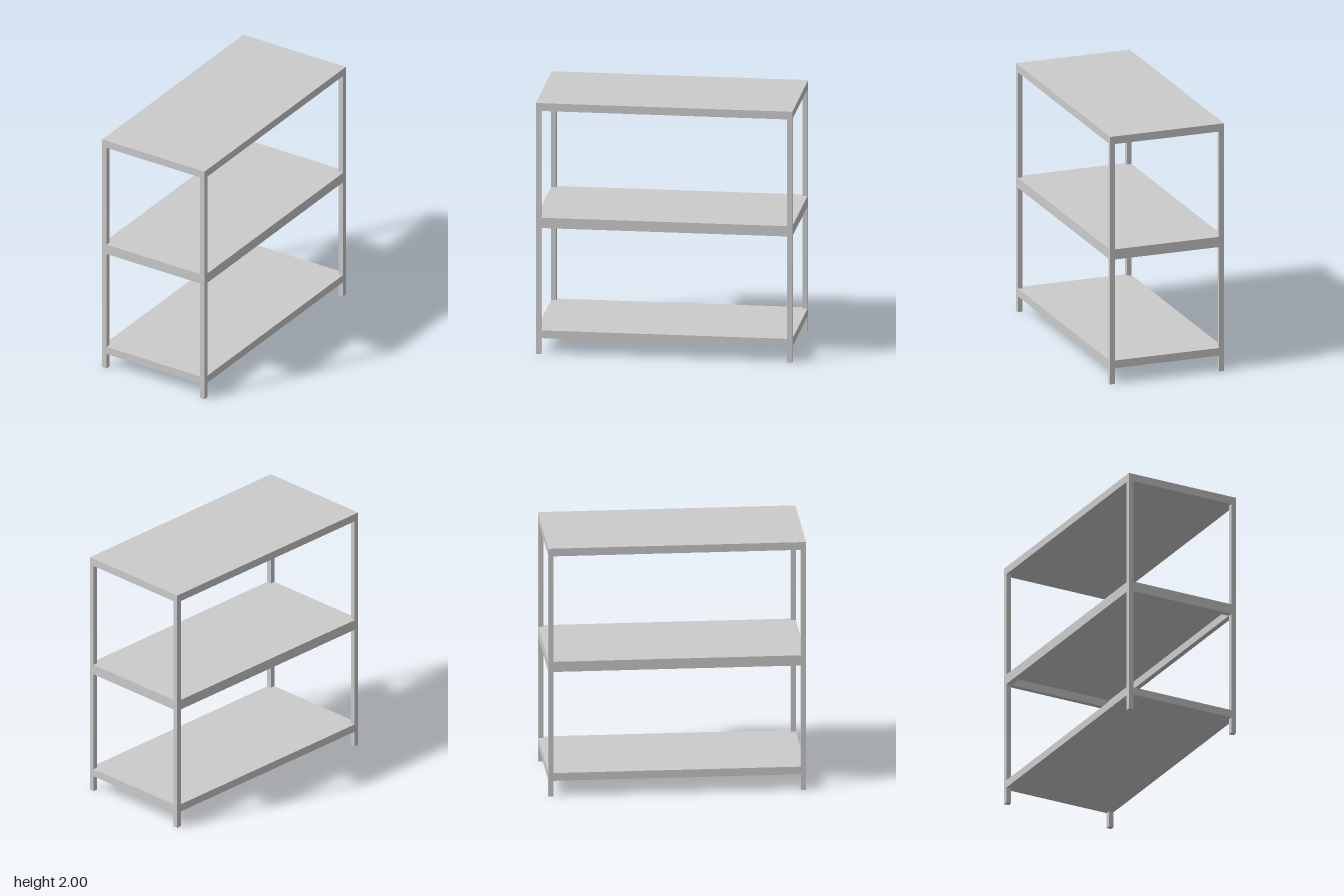
import * as THREE from 'three';

export function createModel() {
  const group = new THREE.Group();
  const material = new THREE.MeshStandardMaterial({ color: 0xcccccc, flatShading: true });

  const W = 0.94, D = 1.99, H = 2; // overall width, depth, height
  const bar = 0.04;                // thickness of posts and rails
  const slab = 0.062;              // height of rails and solid shelves

  function box(name, w, h, d, x, bottom, z) {
    const mesh = new THREE.Mesh(new THREE.BoxGeometry(w, h, d), material);
    mesh.name = name;
    mesh.position.set(x, bottom + h / 2, z);
    group.add(mesh);
  }

  // Corner posts, up to the underside of the top
  for (const sx of [-1, 1]) {
    for (const sz of [-1, 1]) {
      box('cornerPost', bar, H - slab, bar, sx * (W - bar) / 2, 0, sz * (D - bar) / 2);
    }
  }

  // Solid top and bottom shelves
  box('topShelf', W, slab, D, 0, H - slab, 0);
  box('bottomShelf', W, slab, D, 0, 0.127, 0);

  // Middle shelf: thin panel resting on an open frame of rails
  const railBottom = 1.005;
  box('middlePanel', W, 0.02, D, 0, railBottom + slab, 0);
  for (const s of [-1, 1]) {
    box('sideRail', bar, slab, D - 2 * bar, s * (W - bar) / 2, railBottom, 0);
    box('endRail', W - 2 * bar, slab, bar, 0, railBottom, s * (D - bar) / 2);
  }

  return group;
}
